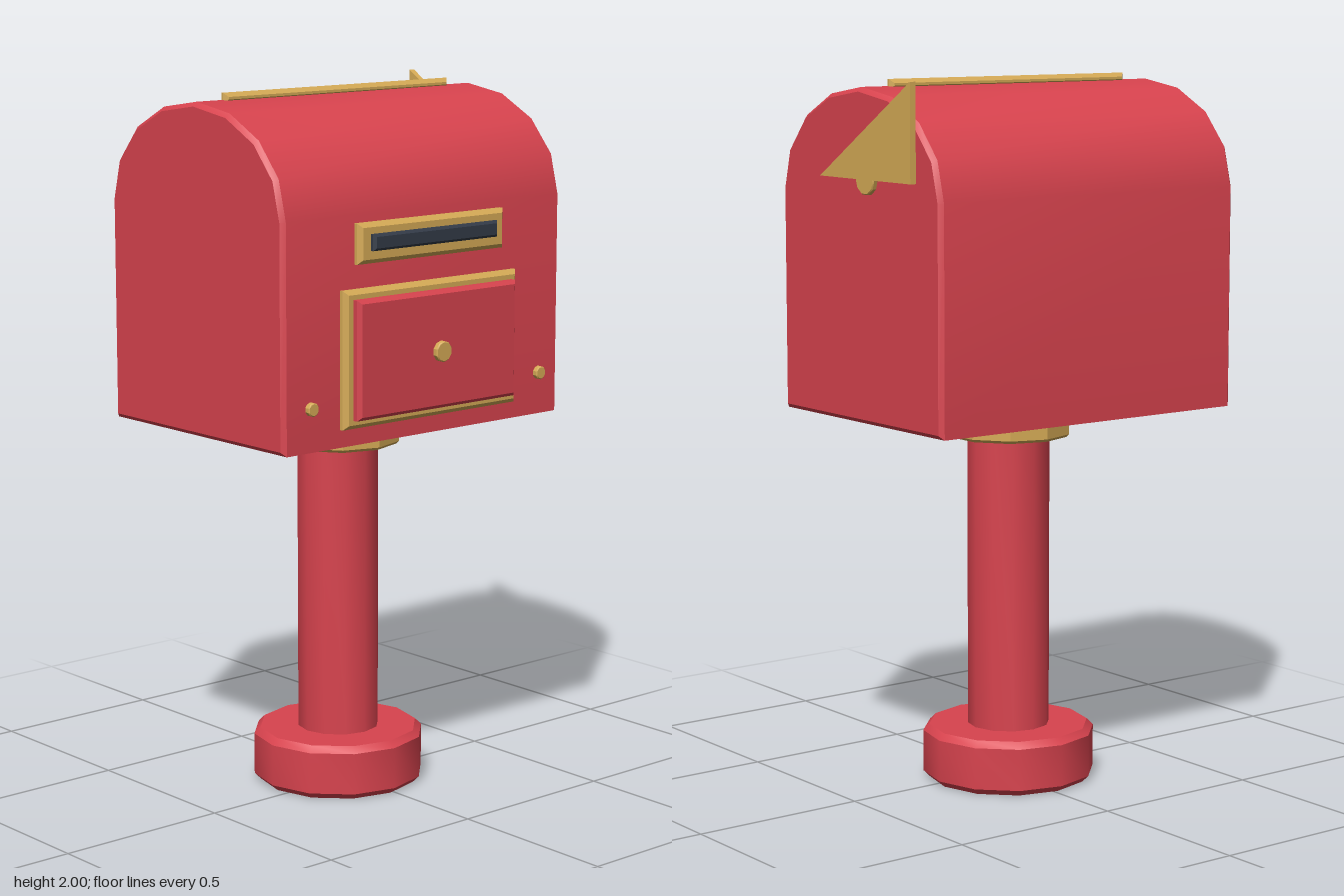
import * as THREE from 'three';
import { toCreasedNormals } from 'three/addons/utils/BufferGeometryUtils.js';

const CX = -0.012, CZ = -0.037; // axis of post and box

export function createModel() {
  const model = new THREE.Group();
  model.name = 'mailbox';

  const material = (name, color) => {
    const m = new THREE.MeshStandardMaterial({ color });
    m.name = name;
    return m;
  };
  const red = material('red paint', 0xd8434e);
  const gold = material('brass', 0xd6ab56);
  const dark = material('dark slot', 0x333b48);

  const add = (name, geometry, mat, x, y, z) => {
    const mesh = new THREE.Mesh(toCreasedNormals(geometry, 0.6), mat);
    mesh.name = name;
    mesh.position.set(x, y, z);
    model.add(mesh);
    return mesh;
  };

  // Extrusion with a chamfer, centred on its depth; b is kept inside the outline
  const slab = (points, depth, b) => {
    const shape = new THREE.Shape(points.map(([x, y]) => new THREE.Vector2(x, y)));
    const g = new THREE.ExtrudeGeometry(shape, {
      depth: depth - 2 * b, bevelEnabled: b > 0, bevelSegments: 1,
      bevelSize: b, bevelThickness: b, bevelOffset: -b,
    });
    return g.translate(0, 0, -(depth - 2 * b) / 2);
  };

  // Chamfered box given by its limits
  const panel = (name, mat, x0, x1, y0, y1, z0, z1, b) => {
    const w = (x1 - x0) / 2, h = (y1 - y0) / 2;
    const g = slab([[-w, -h], [w, -h], [w, h], [-w, h]], z1 - z0, b);
    return add(name, g, mat, (x0 + x1) / 2, (y0 + y1) / 2, (z0 + z1) / 2);
  };

  // Chamfered drum standing on y = 0
  const drum = (r, h, b, sides) => new THREE.LatheGeometry(
    [[0, 0], [r - b, 0], [r, b], [r, h - b], [r - b, h], [0, h]]
      .map(([x, y]) => new THREE.Vector2(x, y)), sides);

  // Stand
  add('base', drum(0.246, 0.155, 0.018, 12), red, CX, 0, CZ);
  add('post', drum(0.117, 0.9, 0.008, 12), red, CX, 0.145, CZ);
  add('collar', drum(0.177, 0.1, 0.008, 10), gold, CX, 0.99, CZ);

  // Box with arched roof
  const profile = [[-0.37, 1.07], [0.37, 1.07]];
  for (let i = 0; i <= 8; i++) {
    const a = (i / 8) * Math.PI;
    profile.push([0.37 * Math.cos(a), 1.69 + 0.288 * Math.sin(a)]);
  }
  add('box', slab(profile, 1.016, 0.012).rotateY(Math.PI / 2), red, CX, 0, CZ);
  panel('roofRidge', gold, -0.42, 0.397, 1.968, 1.997, -0.051, -0.023, 0.011);

  // Letter slot
  panel('slotFrame', gold, -0.278, 0.254, 1.56, 1.67, 0.327, 0.361, 0.012);
  panel('slot', dark, -0.239, 0.215, 1.595, 1.64, 0.352, 0.376, 0.007);

  // Door
  panel('doorFrame', gold, -0.328, 0.305, 1.12, 1.495, 0.327, 0.361, 0.012);
  panel('door', red, -0.301, 0.279, 1.145, 1.47, 0.35, 0.386, 0.01);

  // Knob and bolts
  const stud = (name, r, x, y, z) =>
    add(name, drum(r, 0.018, 0.003, 10).rotateX(Math.PI / 2), gold, x, y, z);
  stud('doorKnob', 0.029, CX, 1.305, 0.388);
  stud('rightBolt', 0.019, CX - 0.42, 1.19, 0.337);
  stud('leftBolt', 0.019, CX + 0.42, 1.19, 0.337);

  // Flag and its pivot
  const flag = slab([[-0.116, 1.735], [0.304, 1.735], [0.304, 2.0]], 0.018, 0);
  add('flag', flag.rotateY(Math.PI / 2), gold, 0.508, 0, 0);
  add('flagPivot', drum(0.043, 0.018, 0.003, 10).rotateZ(-Math.PI / 2), gold, 0.492, 1.735, -0.084);

  return model;
}
